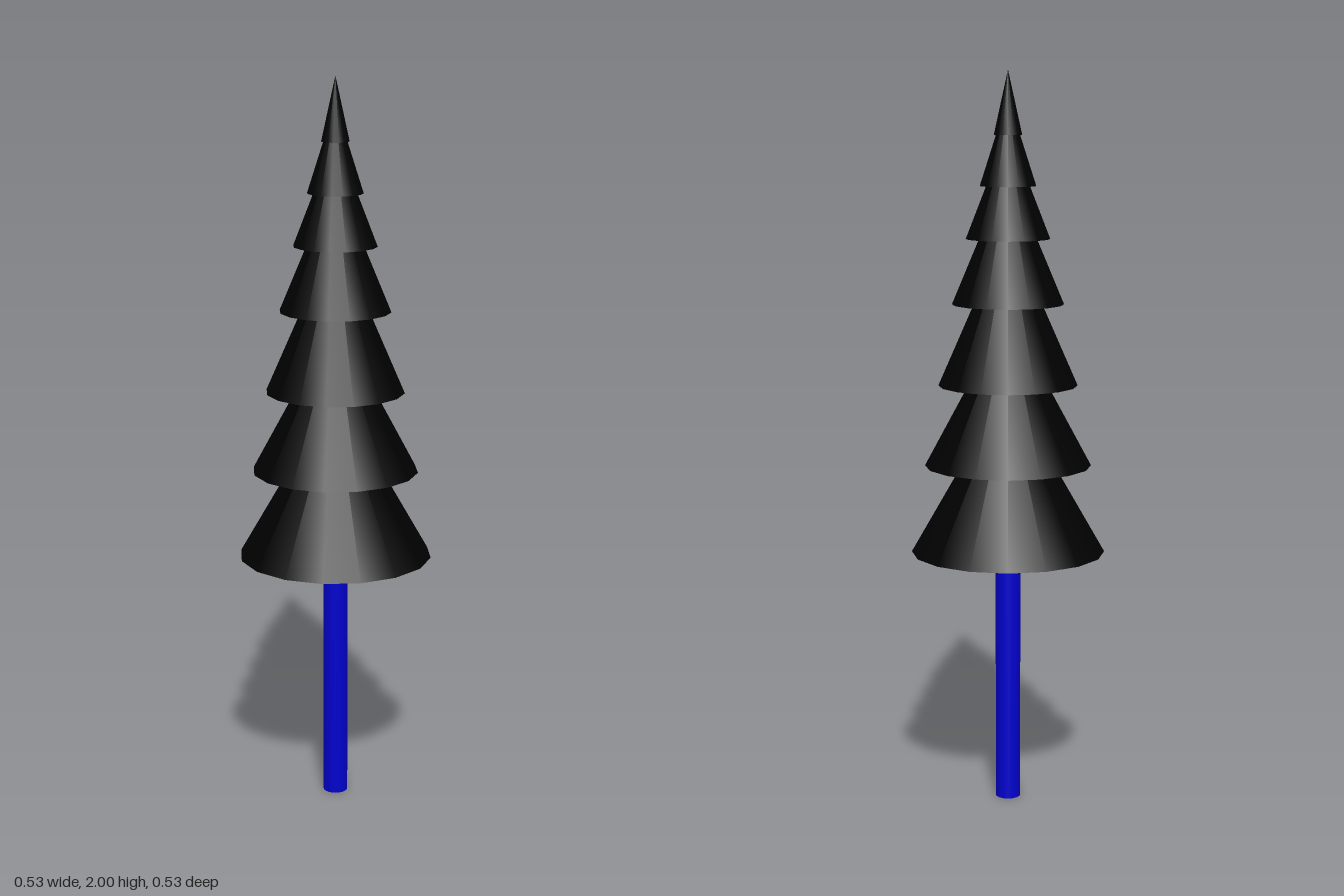
import * as THREE from 'three';

const SIDES = 16;

export function createModel() {
  const tree = new THREE.Group();
  tree.name = 'tree';

  const foliageMaterial = new THREE.MeshStandardMaterial({ color: 0x000000 });
  const trunkMaterial = new THREE.MeshStandardMaterial({ color: 0x0000cc });

  // Trunk: a plain post up to the lowest tier
  const trunkHeight = 0.7;
  const trunk = new THREE.Mesh(
    new THREE.CylinderGeometry(0.034, 0.034, trunkHeight, SIDES), trunkMaterial);
  trunk.name = 'trunk';
  trunk.position.y = trunkHeight / 2;
  tree.add(trunk);

  // Foliage: overlapping closed cones, [base height, cone height], lowest first
  const tiers = [
    [0.70, 0.46], [0.94, 0.42], [1.16, 0.43], [1.38, 0.36],
    [1.555, 0.29], [1.695, 0.235], [1.83, 0.17],
  ];
  const radiusStep = 0.0377;
  const foliage = new THREE.Group();
  foliage.name = 'foliage';
  tiers.forEach(([base, height], i) => {
    const radius = radiusStep * (tiers.length - i);
    const tier = new THREE.Mesh(
      new THREE.ConeGeometry(radius, height, SIDES), foliageMaterial);
    tier.name = `foliageTier${i + 1}`;
    tier.position.y = base + height / 2;
    foliage.add(tier);
  });
  tree.add(foliage);

  return tree;
}
